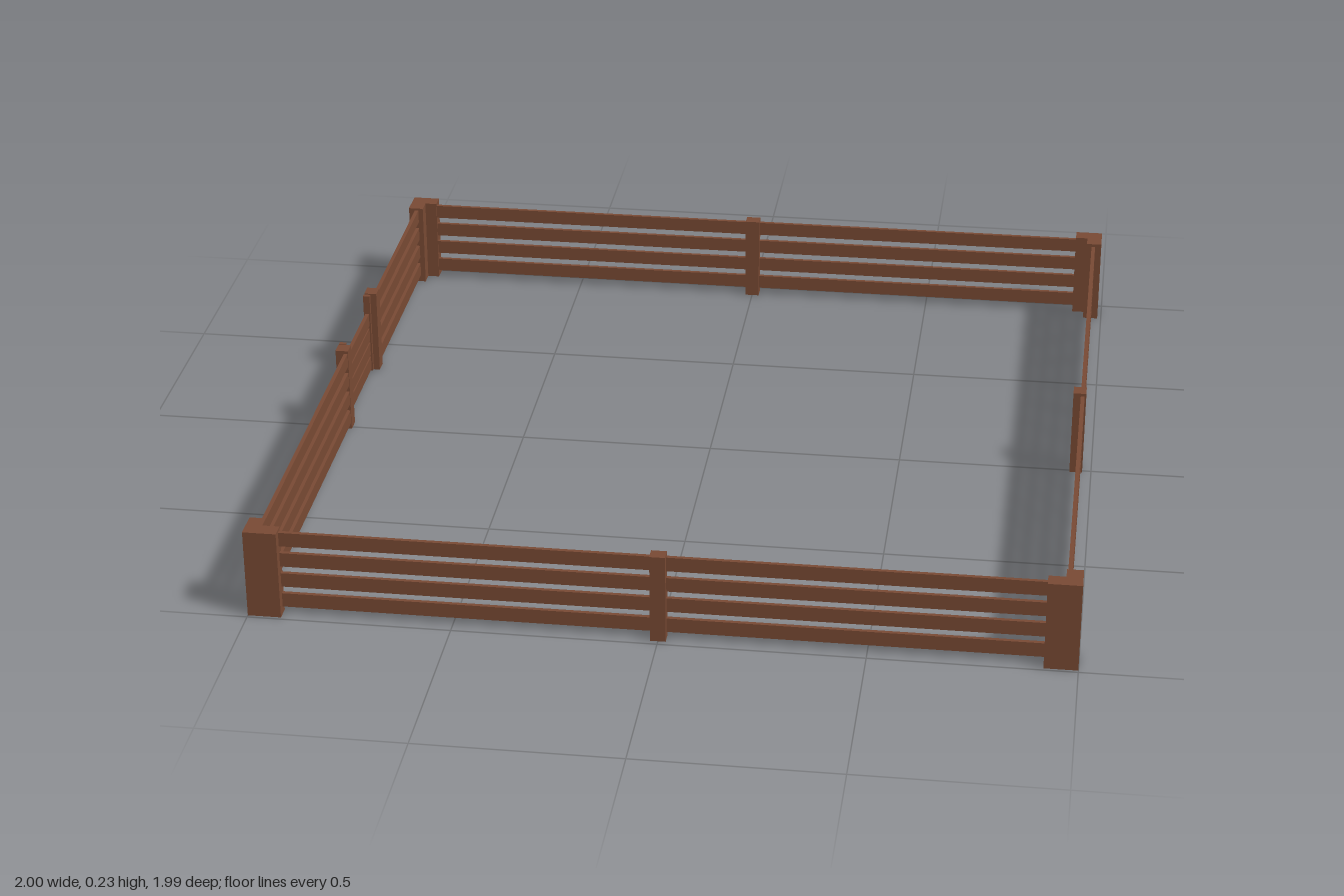
import * as THREE from 'three';

export function createModel() {
  const group = new THREE.Group();
  const wood = new THREE.MeshStandardMaterial({ color: 0x794a34 });
  wood.name = 'brown wood';

  // Box given by its extents on each axis
  function box(name, x0, x1, y0, y1, z0, z1) {
    const mesh = new THREE.Mesh(new THREE.BoxGeometry(x1 - x0, y1 - y0, z1 - z0), wood);
    mesh.position.set((x0 + x1) / 2, (y0 + y1) / 2, (z0 + z1) / 2);
    mesh.name = name;
    group.add(mesh);
  }

  const TOP = 0.23;
  const RAIL = 0.037;
  const HALF = 0.005; // half of a rail's thickness

  // Four stacked rails along x or z
  function rails(name, axis, offset, from, to, base = 0.018, step = 0.0557) {
    for (let i = 0; i < 4; i++) {
      const y = base + i * step;
      if (axis === 'x') box(name, from, to, y, y + RAIL, offset - HALF, offset + HALF);
      else box(name, offset - HALF, offset + HALF, y, y + RAIL, from, to);
    }
  }

  // L-shaped corner posts: two boards meeting at the corner
  const corners = [
    [-1, 1, 1, 0.992], [1, 1, 1, 0.992],
    [-1, -1, 0.99, 0.995], [1, -1, 0.99, 0.995],
  ];
  for (const [sx, sz, x, z] of corners) {
    const span = (s, a, b) => (s > 0 ? [a, b] : [-b, -a]);
    box('cornerPostAcross', ...span(sx, 0.918, x), 0, TOP, ...span(sz, z - 0.039, z));
    box('cornerPostAlong', ...span(sx, x - 0.04, x), 0, TOP, ...span(sz, 0.918, z - 0.039));
  }

  // Fence sides
  rails('frontRail', 'x', 0.965, -0.96, 0.96);
  rails('backRail', 'x', -0.966, -0.96, 0.96);
  rails('leftRail', 'z', 0.968, -0.956, 0.954);
  rails('rightFrontRail', 'z', -0.968, -0.02, 0.954);
  rails('rightBackRail', 'z', -0.968, -0.956, -0.352, 0.02);

  // Middle posts
  box('frontPost', -0.019, 0.019, 0, TOP, 0.953, 0.986);
  box('backPost', -0.019, 0.019, 0, TOP, -0.98, -0.947);
  box('leftPost', 0.944, 0.977, 0, TOP, -0.028, 0.01);

  // Gate posts
  box('gatePost', -0.995, -0.962, 0, TOP, -0.028, 0.01);
  box('gatePost', -0.995, -0.962, 0, TOP, -0.381, -0.343);

  // Gate: lower rails between two thin stiles
  rails('gateRail', 'z', -0.986, -0.332, -0.036, 0.01, 0.0433);
  box('gateStile', -0.995, -0.977, 0.005, TOP, -0.042, -0.031);
  box('gateStile', -0.995, -0.977, 0.005, TOP, -0.337, -0.326);

  return group;
}
